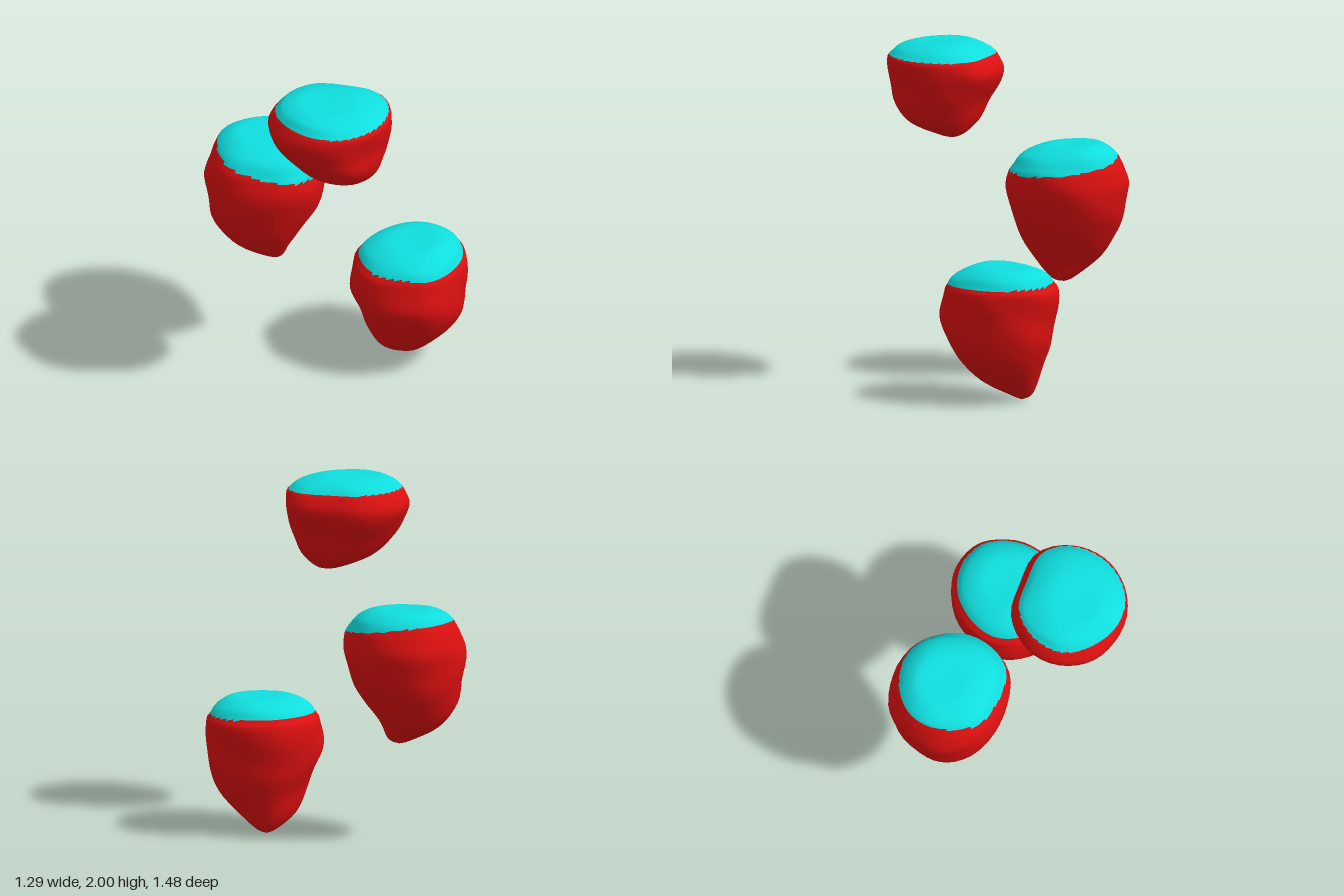
import * as THREE from 'three';

const SEG = 40, SUB = 4;

// Plan shape from radii at equal angles, starting at the back, scaled to span 0..1 both ways
function unitOutline(radii) {
  const points = radii.map((r, k) => {
    const t = (k / radii.length) * Math.PI * 2;
    return new THREE.Vector3(r * Math.sin(t), 0, -r * Math.cos(t));
  });
  const ring = new THREE.CatmullRomCurve3(points, true).getSpacedPoints(SEG).slice(0, SEG);
  const box = new THREE.Box3().setFromPoints(ring);
  const size = box.getSize(new THREE.Vector3());
  return ring.map((p) => [(p.x - box.min.x) / size.x, (p.z - box.min.z) / size.z]);
}

// Closes a rock: a tip below, and a flattened dome that shrinks the rim towards the peak
function closeSections(tip, sides, peak) {
  const [rimY, ...rim] = sides[sides.length - 1];
  const [px, py, pz] = peak;
  const dome = [0.93, 0.8, 0.52, 0.22, 0].map((s) => [
    rimY + (py - rimY) * (1 - s ** 5),
    ...rim.map((edge, k) => THREE.MathUtils.lerp(k < 2 ? px : pz, edge, s)),
  ]);
  return [[tip[1], tip[0], tip[0], tip[2], tip[2]], ...sides, ...dome];
}

// Smooth curve through one corner of every section's bounds
function corner(sections, ix, iz) {
  const pts = sections.map((s) => new THREE.Vector3(s[ix], s[0], s[iz]));
  return new THREE.CatmullRomCurve3(pts, false, 'catmullrom', 0.5);
}

// sides: [y, xMin, xMax, zMin, zMax], bottom to rim; cut: the top starts above y = cut[0] + cut[1] * z
function makeRock({ name, seed, radii, tip, sides, peak, cut }) {
  const unit = unitOutline(radii);
  const sections = closeSections(tip, sides, peak);
  const low = corner(sections, 1, 3), high = corner(sections, 2, 4);
  const rows = (sections.length - 1) * SUB;
  const pos = [];
  for (let i = 0; i <= rows; i++) {
    const a = low.getPoint(i / rows), b = high.getPoint(i / rows);
    const mid = a.clone().add(b).multiplyScalar(0.5);
    unit.forEach(([u, v]) => {
      const x = THREE.MathUtils.lerp(a.x, b.x, u), z = THREE.MathUtils.lerp(a.z, b.z, v);
      // gentle dents in the sides
      const dent = 1 + 0.025 * Math.sin(11 * x + 13 * a.y + seed * 2) * Math.sin(12 * z - 9 * a.y + seed);
      // shallow waves on the crown
      const wave = i > rows * 0.7 ? 0.006 * Math.sin(14 * x + seed) * Math.cos(9 * z) : 0;
      pos.push(mid.x + (x - mid.x) * dent, a.y + wave, mid.z + (z - mid.z) * dent);
    });
  }

  // Triangles, sorted into the top and the body; each pole is one shared vertex
  const id = (i, j) => i * SEG + (i === 0 || i === rows ? 0 : j % SEG);
  const top = [], body = [];
  const addFace = (...f) => {
    if (new Set(f).size < 3) return;
    const [y, z] = [1, 2].map((k) => f.reduce((sum, n) => sum + pos[n * 3 + k], 0) / 3);
    (y > cut[0] + cut[1] * z ? top : body).push(...f);
  };
  for (let i = 0; i < rows; i++) {
    for (let j = 0; j < SEG; j++) {
      addFace(id(i, j), id(i + 1, j), id(i, j + 1));
      addFace(id(i, j + 1), id(i + 1, j), id(i + 1, j + 1));
    }
  }

  // Normals are shared by both parts so the shading runs across the colour edge
  const whole = new THREE.BufferGeometry();
  whole.setAttribute('position', new THREE.Float32BufferAttribute(pos, 3));
  whole.setIndex([...top, ...body]);
  whole.computeVertexNormals();

  const group = new THREE.Group();
  group.name = name;
  [['rockBody', body, 0xdd1010], ['rockTop', top, 0x10dddd]].forEach(([part, index, color]) => {
    const geometry = whole.clone().setIndex(index);
    const mesh = new THREE.Mesh(geometry, new THREE.MeshStandardMaterial({ color }));
    mesh.name = part;
    group.add(mesh);
  });
  return group;
}

export function createModel() {
  const model = new THREE.Group();
  model.name = 'floatingRocks';

  model.add(makeRock({
    name: 'upperRock', seed: 1, cut: [1.925, -0.01],
    radii: [.34, .32, .3, .35, .355, .34, .345, .335, .34, .35],
    tip: [-.2, 1.455, .35], peak: [-.35, 1.995, .28],
    sides: [[1.475, -.28, -.13, .26, .42], [1.54, -.46, -.08, .12, .54], [1.64, -.56, -.04, .03, .592],
      [1.74, -.62, .01, -.03, .602], [1.83, -.65, .042, -.06, .615], [1.9, -.63, .02, -.035, .622]],
  }));

  model.add(makeRock({
    name: 'middleRock', seed: 2, cut: [1.2, -0.14],
    radii: [.355, .35, .335, .335, .325, .33, .34, .325, .355, .36],
    tip: [0, .556, -.35], peak: [.05, 1.355, -.45],
    sides: [[.58, -.06, .05, -.42, -.275], [.67, -.18, .12, -.59, -.22], [.8, -.28, .22, -.68, -.14],
      [.94, -.325, .295, -.715, -.07], [1.1, -.345, .335, -.738, -.025], [1.2, -.325, .32, -.71, -.03]],
  }));

  model.add(makeRock({
    name: 'lowerRock', seed: 3, cut: [.7, -0.02],
    radii: [.32, .33, .33, .34, .33, .32, .345, .335, .345, .34],
    tip: [.37, .003, .33], peak: [.32, .785, .44],
    sides: [[.03, .31, .43, .275, .39], [.11, .15, .485, .22, .52], [.24, .05, .56, .18, .65],
      [.37, -.005, .6, .135, .72], [.5, -.055, .618, .1, .74], [.64, -.03, .64, .105, .73]],
  }));

  return model;
}
